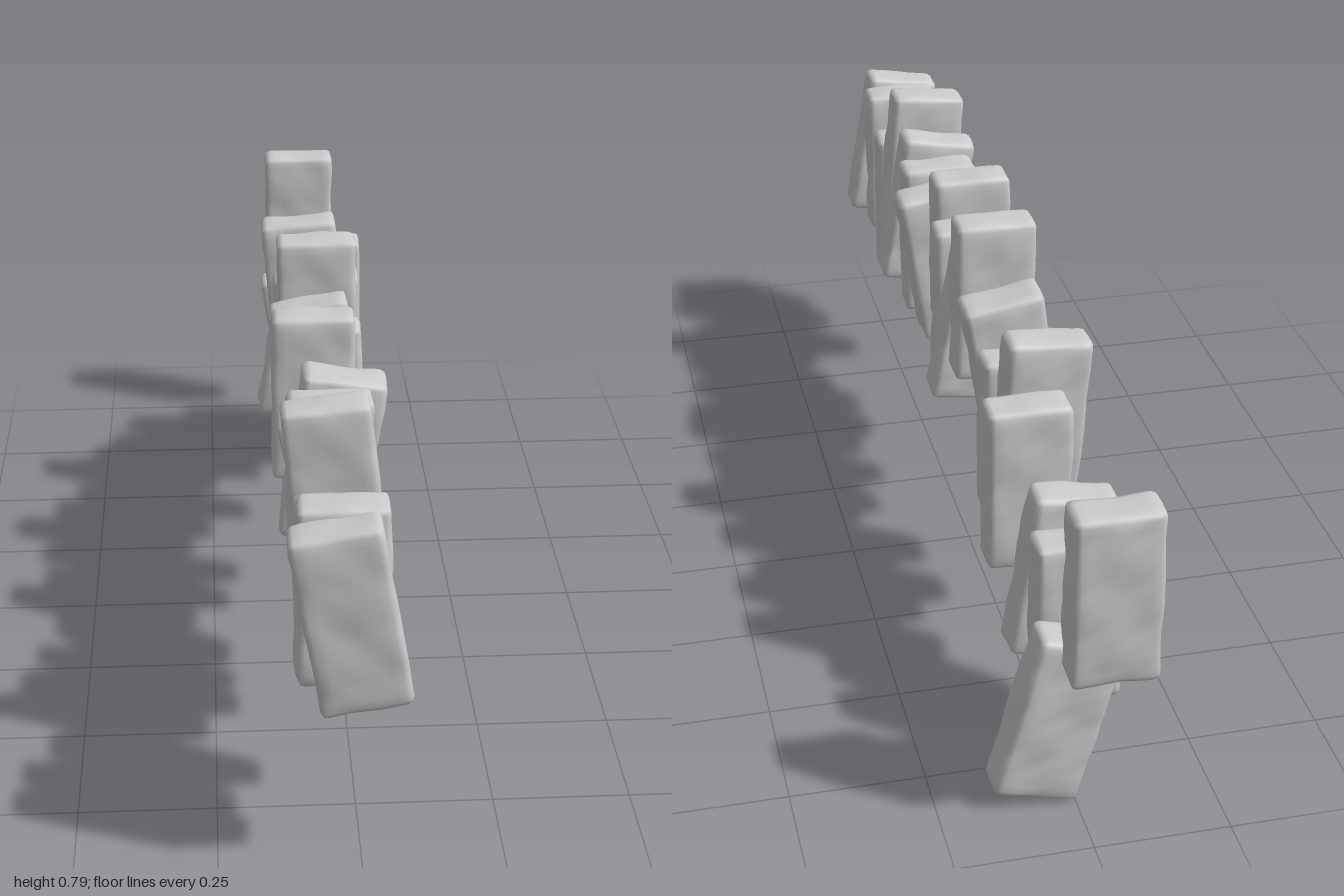
import * as THREE from 'three';
import { mergeVertices } from 'three/addons/utils/BufferGeometryUtils.js';

const W = 0.162, H = 0.338, D = 0.09, BEVEL = 0.014;

// Worn brick-like stone: box with softened edges and shallow dents
function stoneGeometry(depth, seed) {
  let geo = new THREE.BoxGeometry(W, H, depth, 11, 24, 6);
  geo.deleteAttribute('uv');
  geo.deleteAttribute('normal');
  geo = mergeVertices(geo, 1e-5);
  const half = new THREE.Vector3(W / 2, H / 2, depth / 2);
  const pos = geo.attributes.position;
  const p = new THREE.Vector3(), inner = new THREE.Vector3(), out = new THREE.Vector3();
  const limit = half.clone().subScalar(BEVEL), low = limit.clone().negate();
  for (let i = 0; i < pos.count; i++) {
    p.fromBufferAttribute(pos, i);
    inner.copy(p).clamp(low, limit);
    out.copy(p).sub(inner).normalize();
    // broad waves plus sharper chips, always cutting inwards
    const wave = Math.sin(p.x * 45 + seed) * Math.sin(p.y * 31 + seed * 1.7 + p.z * 25);
    const chip = Math.sin(p.y * 68 + p.x * 37 + seed * 2.3) * Math.cos(p.z * 60 - p.x * 40 + seed);
    const dent = 0.0022 * (1 - wave) + 0.002 * Math.max(0, chip);
    p.copy(inner).addScaledVector(out, BEVEL - dent);
    // slight narrowing towards both ends
    p.z *= 1 - 0.1 * Math.pow(Math.abs(p.y) / half.y, 4);
    pos.setXYZ(i, p.x, p.y, p.z);
  }
  geo.computeVertexNormals();
  return geo;
}

// Each stone: centre x, centre y, centre z, sideways lean in degrees, depth
const STONES = [
  [-0.023, 0.513, 0.953, 10, D],
  [-0.03, 0.512, 0.865, 0, D],
  [-0.03, 0.452, 0.748, 0, D],
  [-0.033, 0.59, 0.645, 5.5, D],
  [-0.023, 0.53, 0.542, 10, D],
  [-0.03, 0.51, 0.443, 0, D],
  [-0.02, 0.505, 0.328, -9, 0.104],
  [-0.05, 0.582, 0.218, 0, D],
  [-0.03, 0.518, 0.117, 0, D],
  [-0.023, 0.522, 0.008, 10, D],
  [-0.028, 0.622, -0.083, 0.5, D],
  [-0.043, 0.518, -0.202, -10, 0.104],
  [-0.03, 0.452, -0.316, 0, D],
  [-0.04, 0.54, -0.42, 4.5, D],
  [0.008, 0.462, -0.513, 0, D],
  [-0.028, 0.338, -0.628, 8.5, D],
  [-0.028, 0.313, -0.735, 0, D],
  [0.033, 0.182, -0.836, 15, D],
  [-0.03, 0.512, -0.955, 0, D],
];

export function createModel() {
  const model = new THREE.Group();
  model.name = 'stoneRow';
  const material = new THREE.MeshStandardMaterial({ color: 0xcccccc });
  STONES.forEach(([x, y, z, lean, depth], i) => {
    const stone = new THREE.Mesh(stoneGeometry(depth, i * 1.3), material);
    stone.name = `stone${i + 1}`;
    stone.position.set(x, y, z);
    stone.rotation.z = THREE.MathUtils.degToRad(lean);
    model.add(stone);
  });
  return model;
}
